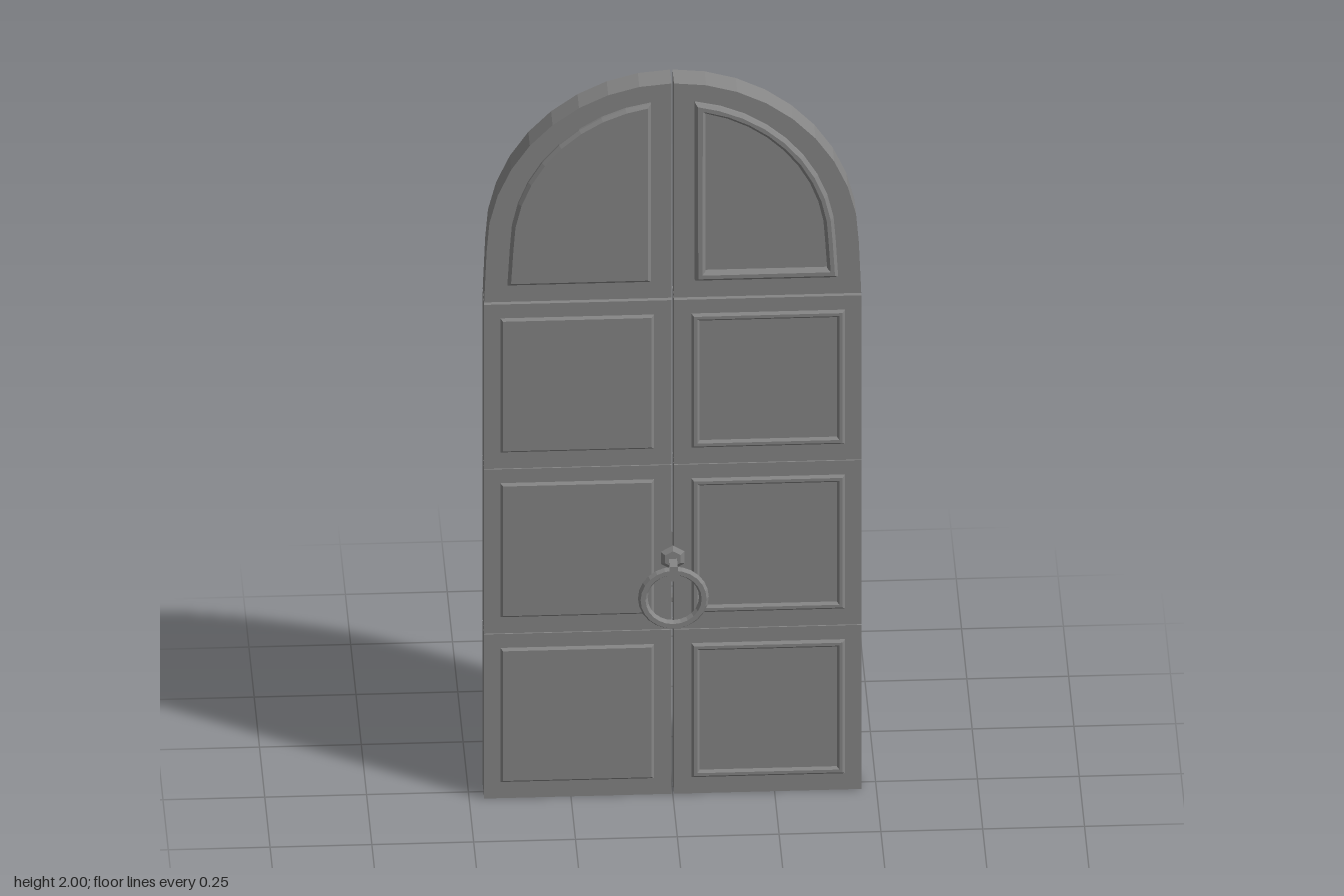
import * as THREE from 'three';

const material = new THREE.MeshStandardMaterial({ color: 0x868686, flatShading: true });
const HALF = 0.035;  // half thickness of the door
const GAP = 0.003;   // half width of the slit between the two leaves
const PITCH = 0.464; // height of one row of blocks

function add(group, name, geometry, x = 0, y = 0, z = 0) {
  const mesh = new THREE.Mesh(geometry, material);
  mesh.name = name;
  mesh.position.set(x, y, z);
  group.add(mesh);
}

function rectPoints(x0, x1, y0, y1) {
  return [[x0, y0], [x1, y0], [x1, y1], [x0, y1]].map(([x, y]) => new THREE.Vector2(x, y));
}

// Half arch: a slightly leaning side from y0 up to the spring line, then an arc to x = x0
function archPoints(x0, foot, y0, a, spring, b, steps = 9) {
  const points = [new THREE.Vector2(x0, y0), new THREE.Vector2(foot, y0)];
  const end = Math.acos(x0 / a);
  for (let i = 0; i <= steps; i++) {
    const t = (end * i) / steps;
    points.push(new THREE.Vector2(a * Math.cos(t), spring + b * Math.sin(t)));
  }
  return points;
}

const mirrored = (points, side) => points.map((p) => new THREE.Vector2(p.x * side, p.y));

// Flat block, centred on z = 0
function slab(outline, side) {
  const shape = new THREE.Shape(mirrored(outline, side));
  const geometry = new THREE.ExtrudeGeometry(shape, { depth: HALF * 2, bevelEnabled: false });
  return geometry.translate(0, 0, -HALF);
}

// Frame with chamfered edges that runs through the block and stands proud on both faces
function moulding(outline, hole, reach, bevel, side) {
  const shape = new THREE.Shape(mirrored(outline, side));
  shape.holes.push(new THREE.Path(mirrored(hole, side)));
  const depth = 2 * (reach - bevel);
  const geometry = new THREE.ExtrudeGeometry(shape, {
    depth, bevelThickness: bevel, bevelSize: bevel, bevelOffset: -bevel, bevelSegments: 1,
  });
  return geometry.translate(0, 0, -depth / 2);
}

function createLeaf(side) {
  const leaf = new THREE.Group();
  leaf.name = side > 0 ? 'leftLeaf' : 'rightLeaf';

  // Three square blocks, each with a raised moulding on both faces
  for (let row = 0; row < 3; row++) {
    const y = row * PITCH;
    add(leaf, 'doorBlock', slab(rectPoints(GAP, 0.463, y, y + PITCH - 0.002), side));
    add(leaf, 'panelMoulding', moulding(
      rectPoints(0.046, 0.423, y + 0.046, y + 0.423),
      rectPoints(0.066, 0.403, y + 0.066, y + 0.403), 0.042, 0.006, side));
  }

  // Arched block and its heavier moulding
  add(leaf, 'archBlock', slab(archPoints(GAP, 0.463, 1.397, 0.457, 1.54, 0.46), side));
  add(leaf, 'archMoulding', moulding(
    archPoints(0.054, 0.406, 1.447, 0.4, 1.55, 0.402),
    archPoints(0.08, 0.379, 1.473, 0.374, 1.55, 0.376), 0.05, 0.008, side));
  return leaf;
}

// Ring pull hanging from a short arm on a faceted plate
function createKnocker(name) {
  const knocker = new THREE.Group();
  knocker.name = name;
  const plate = new THREE.CylinderGeometry(0.022, 0.034, 0.008, 6).rotateX(Math.PI / 2);
  add(knocker, 'backPlate', plate, 0, 0.665, 0.039);
  add(knocker, 'arm', new THREE.BoxGeometry(0.02, 0.022, 0.048), 0, 0.655, 0.059);
  add(knocker, 'armHook', new THREE.BoxGeometry(0.02, 0.036, 0.01), 0, 0.643, 0.078);
  add(knocker, 'ring', new THREE.TorusGeometry(0.075, 0.012, 6, 24), 0, 0.57, 0.066);
  return knocker;
}

export function createModel() {
  const door = new THREE.Group();
  door.name = 'archedDoubleDoor';
  const back = createKnocker('backKnocker');
  back.rotation.y = Math.PI;
  door.add(createLeaf(1), createLeaf(-1), createKnocker('frontKnocker'), back);
  return door;
}
